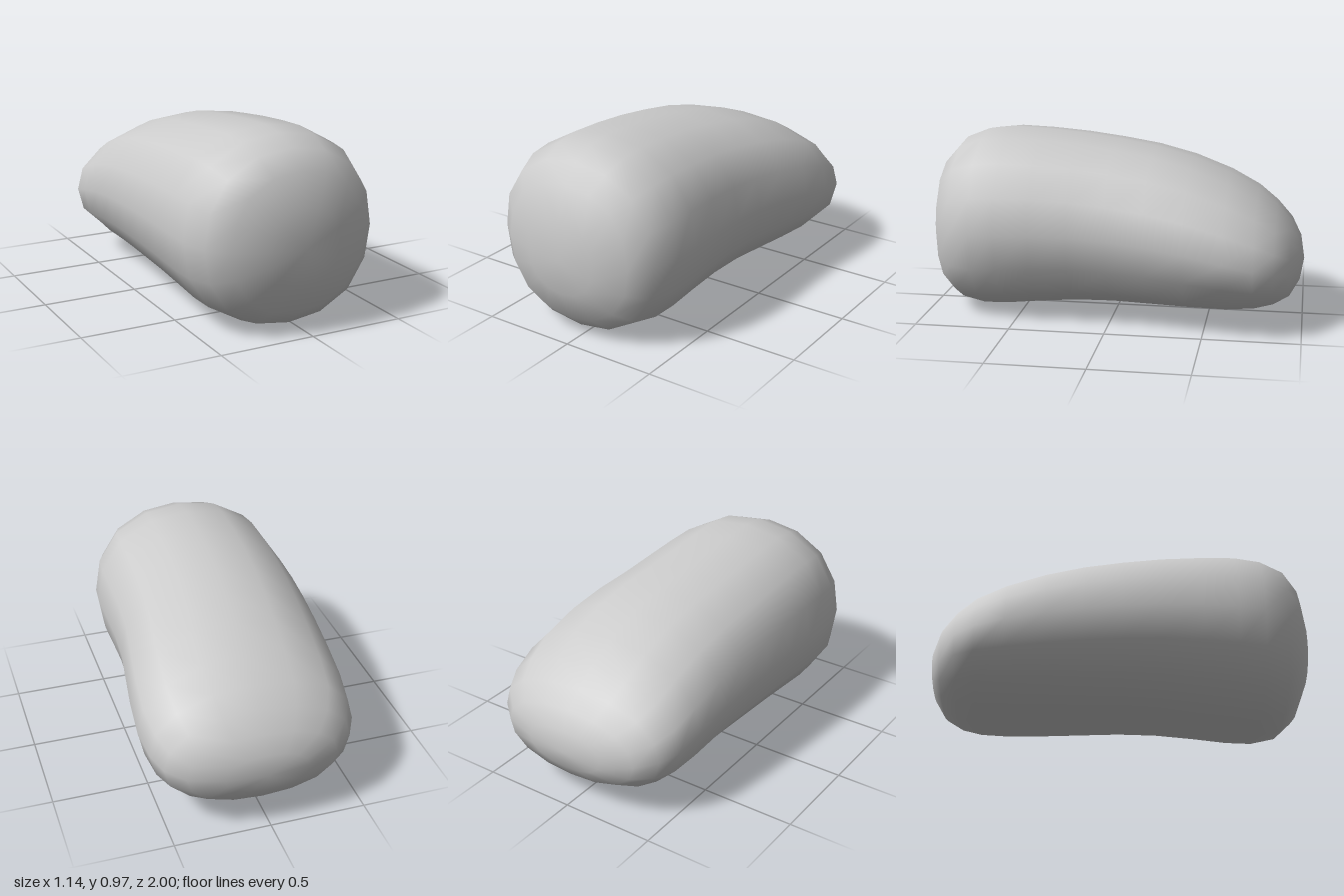
import * as THREE from 'three';

const SIDES = 16;

// Cross-sections from front to back: z, bottom y, top y, right x, left x
const SECTIONS = [
  [1.0, 0.45, 0.45, -0.04, -0.04],
  [0.98, 0.26, 0.65, -0.24, 0.155],
  [0.925, 0.11, 0.815, -0.405, 0.325],
  [0.84, 0.03, 0.91, -0.505, 0.42],
  [0.715, 0.005, 0.96, -0.555, 0.47],
  [0.58, 0.01, 0.975, -0.57, 0.485],
  [0.4, 0.03, 0.967, -0.572, 0.486],
  [0.2, 0.048, 0.95, -0.57, 0.487],
  [0.0, 0.055, 0.925, -0.563, 0.497],
  [-0.2, 0.056, 0.895, -0.552, 0.525],
  [-0.4, 0.057, 0.845, -0.542, 0.552],
  [-0.6, 0.06, 0.768, -0.534, 0.567],
  [-0.75, 0.073, 0.685, -0.516, 0.547],
  [-0.85, 0.1, 0.605, -0.463, 0.503],
  [-0.93, 0.145, 0.52, -0.365, 0.41],
  [-0.98, 0.22, 0.43, -0.2, 0.235],
  [-1.0, 0.32, 0.32, 0.02, 0.02],
];

// Lofts slightly squared ovals, closing to a single point at each end
function loft(sections, sides) {
  const positions = [], index = [], rings = [];
  for (const [z, y0, y1, x0, x1] of sections) {
    const isPole = x0 === x1;
    const start = positions.length / 3;
    for (let j = 0; j < (isPole ? 1 : sides); j++) {
      const t = (j / sides) * Math.PI * 2;
      const r = isPole ? 0 : 1 + 0.019 * (1 - Math.cos(4 * t));
      positions.push(
        (x0 + x1) / 2 + ((x1 - x0) / 2) * r * Math.sin(t),
        (y0 + y1) / 2 + ((y1 - y0) / 2) * r * Math.cos(t),
        z
      );
    }
    rings.push((j) => (isPole ? start : start + (j % sides)));
  }
  for (let i = 0; i < rings.length - 1; i++) {
    for (let j = 0; j < sides; j++) {
      const a = rings[i](j), b = rings[i](j + 1);
      const c = rings[i + 1](j), d = rings[i + 1](j + 1);
      if (a !== b) index.push(a, b, c);
      if (c !== d) index.push(b, d, c);
    }
  }
  const geometry = new THREE.BufferGeometry();
  geometry.setAttribute('position', new THREE.Float32BufferAttribute(positions, 3));
  geometry.setIndex(index);
  geometry.computeVertexNormals();
  return geometry;
}

export function createModel() {
  const group = new THREE.Group();
  group.name = 'pebble';
  // Smooth curved body, tapering towards the back
  const body = new THREE.Mesh(
    loft(SECTIONS, SIDES),
    new THREE.MeshStandardMaterial({ color: 0xcccccc })
  );
  body.name = 'body';
  group.add(body);
  return group;
}
